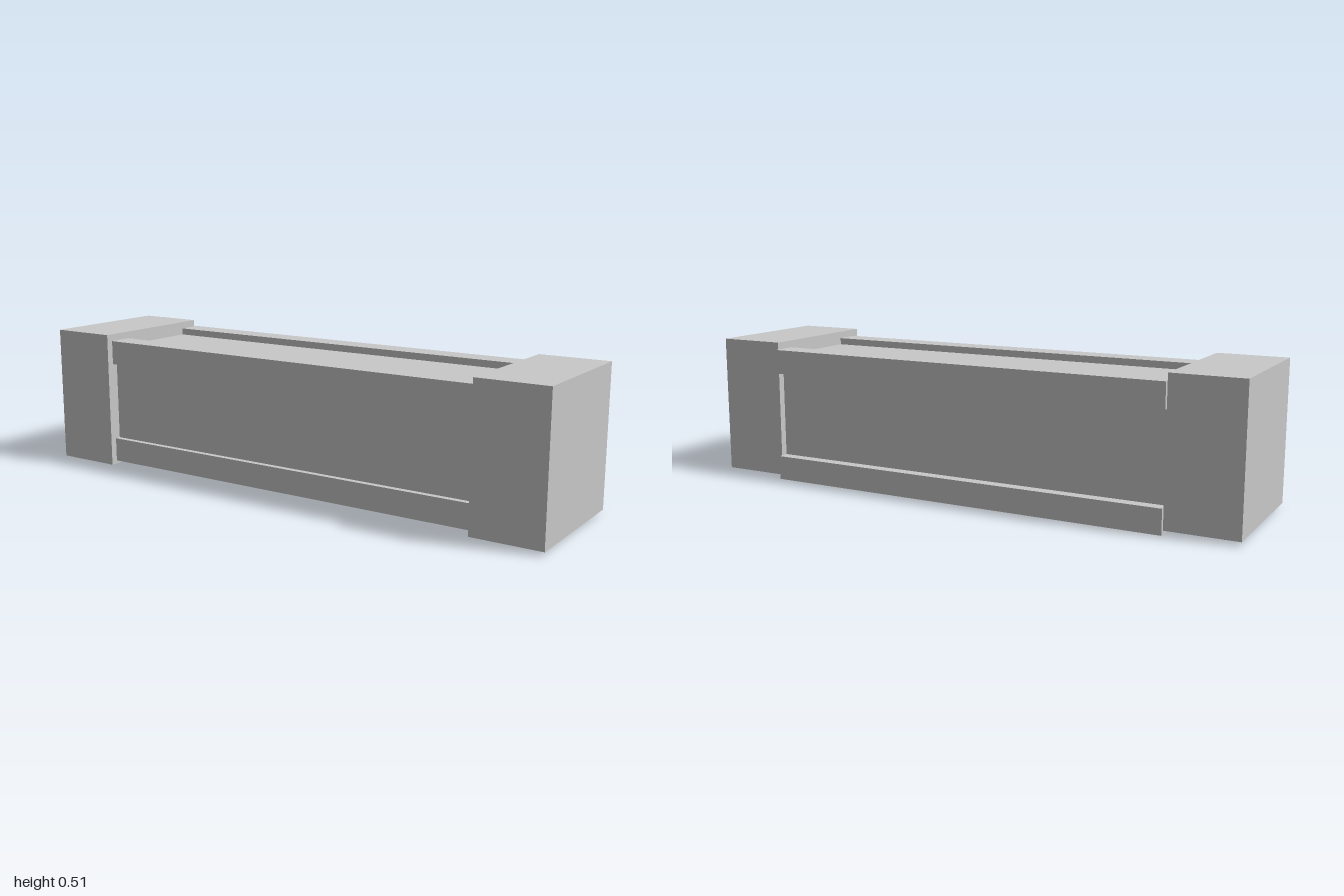
import * as THREE from 'three';

export function createModel() {
  const model = new THREE.Group();
  const grey = new THREE.MeshStandardMaterial({ color: 0xc8c8c8 });
  grey.name = 'plain grey';

  // Box given by its extents along each axis
  function block(name, [x0, x1], [y0, y1], [z0, z1]) {
    const mesh = new THREE.Mesh(new THREE.BoxGeometry(x1 - x0, y1 - y0, z1 - z0), grey);
    mesh.position.set((x0 + x1) / 2, (y0 + y1) / 2, (z0 + z1) / 2);
    mesh.name = name;
    model.add(mesh);
  }

  // Square end blocks
  const capY = [0.013, 0.513], capZ = [-0.243, 0.257];
  block('leftEndBlock', [0.75, 1], capY, capZ);
  block('rightEndBlock', [-1, -0.75], capY, capZ);

  // Recessed central beam
  const span = [-0.75, 0.75];
  block('coreBeam', span, [0.043, 0.463], [-0.217, 0.212]);

  // Four corner rails between the end blocks
  const r = 0.0875;
  const rails = [
    ['frontTopRail', 0.4, 0.145],
    ['frontBottomRail', 0.025, 0.145],
    ['backTopRail', 0.4, -0.257],
    ['backBottomRail', 0, -0.257],
  ];
  for (const [name, y, z] of rails) block(name, span, [y, y + r], [z, z + r]);

  return model;
}
